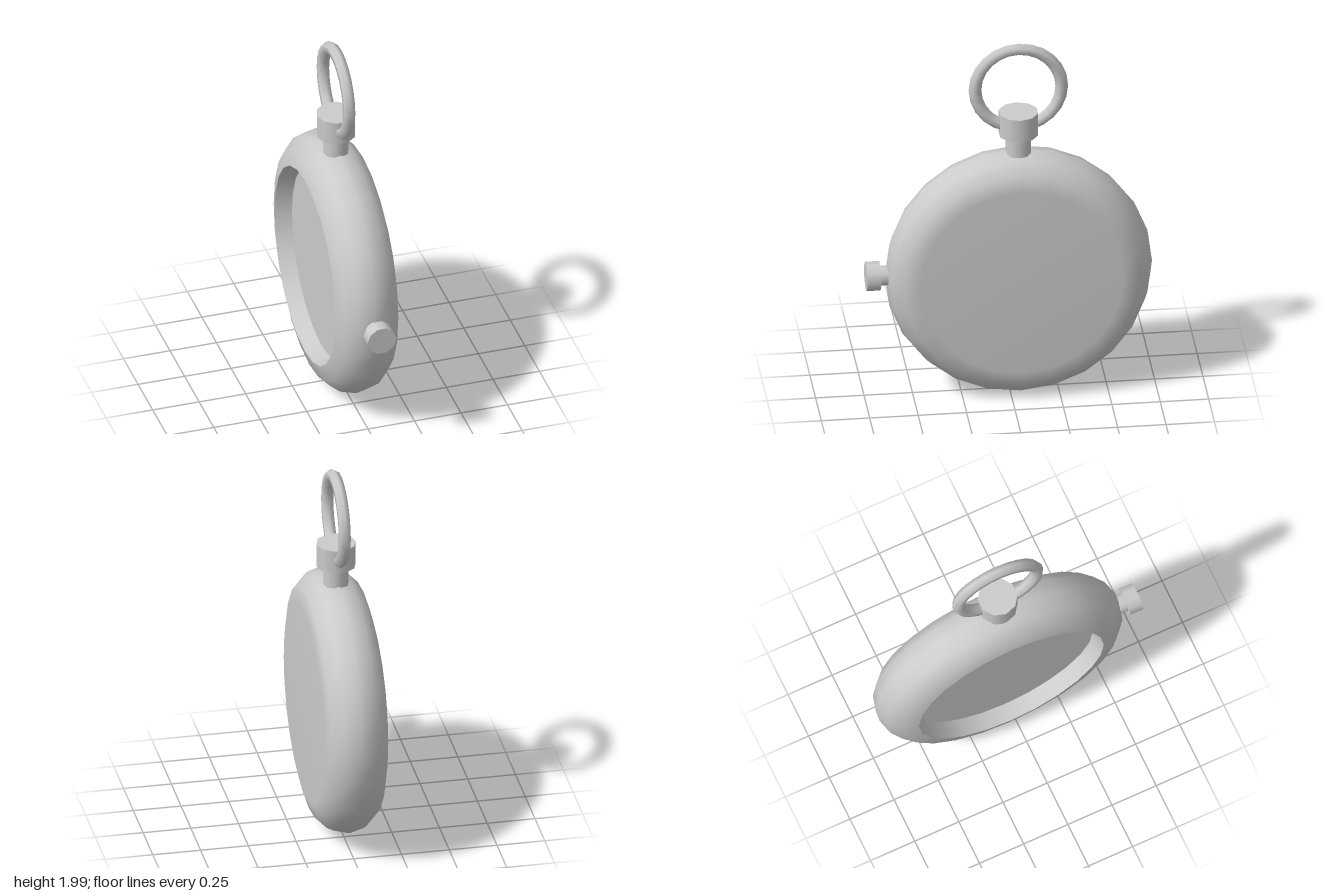
import * as THREE from 'three';

export function createModel() {
  const group = new THREE.Group();
  const material = new THREE.MeshStandardMaterial({ color: 0xcccccc });
  const CY = 0.697, CZ = -0.047;      // centre of the case
  const EDGE = 0.167, FACE = 0.523;   // rim rounding radius, flat face radius

  function add(name, geometry, x, y, z, parent = group) {
    const mesh = new THREE.Mesh(geometry, material);
    mesh.name = name;
    mesh.position.set(x, y, z);
    parent.add(mesh);
    return mesh;
  }
  const lathe = (pts) => new THREE.LatheGeometry(pts.map(([r, h]) => new THREE.Vector2(r, h)), 24);

  // Case: turned around the x axis, closed on the left and recessed on the right
  const watchCase = new THREE.Group();
  watchCase.name = 'case';
  watchCase.position.set(0, CY, CZ);
  watchCase.rotation.z = -Math.PI / 2;
  group.add(watchCase);

  const rim = [];
  for (let i = 0; i <= 6; i++) {
    const a = -Math.PI / 2 + i * Math.PI / 6;
    rim.push([FACE + EDGE * Math.cos(a), EDGE * Math.sin(a)]);
  }
  add('caseShell', lathe([...rim, [0, EDGE]]), 0, 0, 0, watchCase);
  add('recessWall', lathe([[0.5, -0.08], [FACE, -EDGE]]), 0, 0, 0, watchCase);
  add('dial', lathe([[0, -0.08], [0.5, -0.08]]), 0, 0, 0, watchCase);

  // Ten-sided pin with a corner on the x axis
  const pin = (r, h) => new THREE.CylinderGeometry(r, r, h, 10).rotateY(Math.PI / 2);

  // Neck and cap on top of the case
  add('neck', pin(0.066, 0.16), 0, 1.42, CZ);
  add('neckCap', pin(0.103, 0.128), 0, 1.541, CZ);

  // Side button pointing forward
  add('buttonStem', pin(0.052, 0.1).rotateX(Math.PI / 2), 0, CY, 0.63);
  add('buttonCap', pin(0.077, 0.072).rotateX(Math.PI / 2), 0, CY, 0.705);

  // Hanging ring through the cap
  add('ring', new THREE.TorusGeometry(0.224, 0.033, 6, 24).rotateY(Math.PI / 2), 0, 1.743, CZ);

  return group;
}
